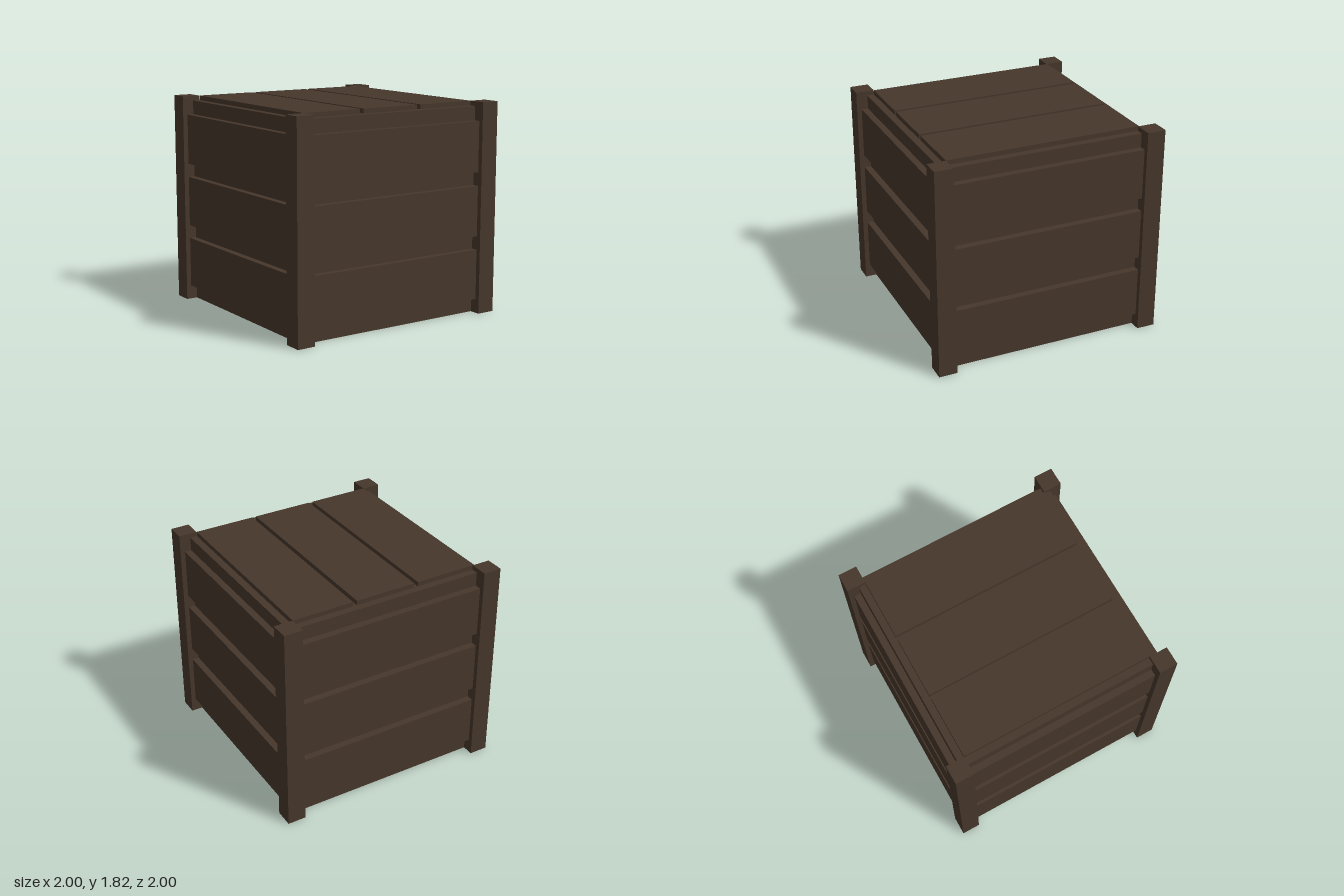
import * as THREE from 'three';

export function createModel() {
  const crate = new THREE.Group();
  crate.name = 'crate';
  const wood = new THREE.MeshStandardMaterial({ color: 0x46372b, flatShading: true });

  const addBox = (parent, name, size, position) => {
    const mesh = new THREE.Mesh(new THREE.BoxGeometry(...size), wood);
    mesh.name = name;
    mesh.position.set(...position);
    parent.add(mesh);
  };

  const height = 1.82, bodyHeight = 1.78;
  const post = 0.16, inner = 1 - post;

  // Solid body behind the planks
  addBox(crate, 'body', [1.8, bodyHeight, 1.8], [0, bodyHeight / 2, 0]);

  // Corner posts
  for (const x of [-1, 1]) {
    for (const z of [-1, 1]) {
      addBox(crate, 'cornerPost', [post, height, post],
        [x * (1 - post / 2), height / 2, z * (1 - post / 2)]);
    }
  }

  // Three raised planks on each of the four sides
  ['front', 'left', 'back', 'right'].forEach((side, i) => {
    const panel = new THREE.Group();
    panel.name = side + 'Planks';
    panel.rotation.y = i * Math.PI / 2;
    for (let row = 0; row < 3; row++) {
      addBox(panel, 'sidePlank', [inner * 2, 0.435, 0.08], [0, 0.338 + row * 0.552, 0.918]);
    }
    crate.add(panel);
  });

  // Lid planks with narrow gaps
  for (const column of [-1, 0, 1]) {
    addBox(crate, 'lidPlank', [0.535, 0.06, inner * 2], [column * 0.57, height - 0.03, 0]);
  }

  return crate;
}
